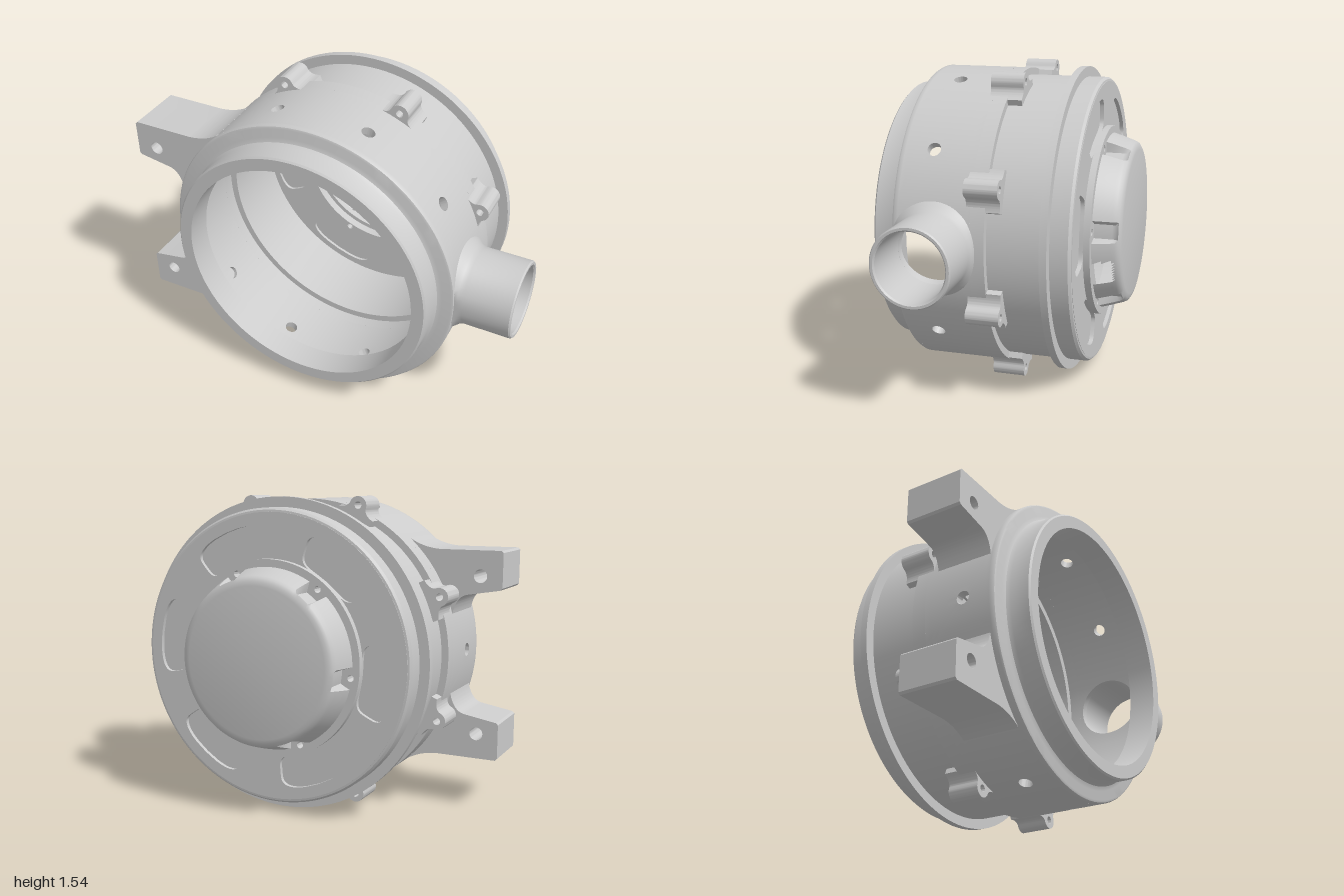
import * as THREE from 'three';
import { mergeGeometries, toCreasedNormals } from 'three/addons/utils/BufferGeometryUtils.js';

const RAD = Math.PI / 180;
const R_OUT = 0.755, R_IN = 0.715;       // front housing wall
const Z_LOW = 0.06, Z_HIGH = 0.41;       // band of the wall that carries holes
const PIPE_Z = 0.24;
const material = new THREE.MeshStandardMaterial({ color: 0xcccccc, side: THREE.DoubleSide });

function add(parent, name, geometry, crease = 35) {
  const mesh = new THREE.Mesh(toCreasedNormals(geometry, crease * RAD), material);
  mesh.name = name;
  parent.add(mesh);
  return mesh;
}

// Lathe about the z axis from [radius, z] pairs
function turned(profile, segments = 120) {
  const points = profile.map(([r, z]) => new THREE.Vector2(r, z));
  return new THREE.LatheGeometry(points, segments).rotateX(Math.PI / 2).scale(1, 1, 1);
}

function circlePath(x, y, r) {
  return new THREE.Path().absarc(x, y, r, 0, Math.PI * 2, true);
}

function plate(shape, z0, z1, curveSegments = 48) {
  return new THREE.ExtrudeGeometry(shape, { depth: z1 - z0, bevelEnabled: false, curveSegments }).translate(0, 0, z0);
}

// Curved wall piece spanning 36 degrees with a round radial hole
function wallPanel(angle, holeZ, holeR) {
  const h = R_OUT * Math.sin(18 * RAD), side = 14, steps = 7, n = side * 4;
  const corners = [[-h, Z_LOW - holeZ], [h, Z_LOW - holeZ], [h, Z_HIGH - holeZ], [-h, Z_HIGH - holeZ]];
  const pos = [], index = [], rows = steps * 2;
  for (let k = 0; k < rows; k++) {
    const outer = k < steps;
    const t = (outer ? k : rows - 1 - k) / (steps - 1);
    const R = outer ? R_OUT : R_IN;
    for (let i = 0; i < n; i++) {
      const a = corners[Math.floor(i / side)], b = corners[(Math.floor(i / side) + 1) % 4], f = (i % side) / side;
      const ry = a[0] + (b[0] - a[0]) * f, rz = a[1] + (b[1] - a[1]) * f, len = Math.hypot(ry, rz);
      const y = (ry + (ry / len * holeR - ry) * t) * R / R_OUT;
      const z = holeZ + rz + (rz / len * holeR - rz) * t;
      pos.push(Math.sqrt(R * R - y * y), y, z);
      if (k < rows - 1) {
        const j = (i + 1) % n, p = k * n;
        index.push(p + i, p + j, p + n + i, p + j, p + n + j, p + n + i);
      }
    }
  }
  const g = new THREE.BufferGeometry();
  g.setAttribute('position', new THREE.Float32BufferAttribute(pos, 3));
  g.setIndex(index);
  return g.rotateZ(angle);
}

// Side pipe whose root follows the round wall
function pipeGeometry() {
  const profile = [[0.165, 0.7], [0.165, 1.017], [0.172, 1.025], [0.184, 1.025], [0.19, 1.018],
    [0.19, 0.79], [0.197, 0.765], [0.215, 0.745], [0.235, 0.7]].reverse();
  const g = new THREE.LatheGeometry(profile.map(([r, x]) => new THREE.Vector2(r, x)), 64).rotateZ(-Math.PI / 2);
  const p = g.attributes.position;
  for (let i = 0; i < p.count; i++) {
    if (p.getX(i) < 0.71) p.setX(i, Math.sqrt(0.74 ** 2 - p.getY(i) ** 2));
    p.setZ(i, Math.min(p.getZ(i), 0.19));
  }
  return g.translate(0, 0, PIPE_Z);
}

// Mounting arm, upper one
function armGeometry() {
  const s = new THREE.Shape();
  s.moveTo(-0.975, 0.335);
  s.lineTo(-0.975, 0.505);
  s.lineTo(-0.965, 0.515);
  s.lineTo(-0.66, 0.515);
  s.quadraticCurveTo(-0.57, 0.52, -0.5, 0.566);
  s.absarc(0, 0, 0.735, 131 * RAD, 163 * RAD, false);
  s.lineTo(-0.728, 0.2);
  s.quadraticCurveTo(-0.745, 0.285, -0.8, 0.297);
  s.lineTo(-0.965, 0.325);
  s.holes.push(circlePath(-0.865, 0.39, 0.033));
  return plate(s, 0.11, 0.4, 20);
}

// Screw ear, pointing along +x
function earGeometry() {
  const s = new THREE.Shape();
  s.moveTo(0.715, -0.1);
  s.lineTo(0.745, -0.1);
  s.quadraticCurveTo(0.755, -0.05, 0.785, -0.045);
  s.absarc(0.785, 0, 0.045, -Math.PI / 2, Math.PI / 2, false);
  s.quadraticCurveTo(0.755, 0.05, 0.745, 0.1);
  s.lineTo(0.715, 0.1);
  s.holes.push(circlePath(0.787, 0, 0.018));
  return plate(s, -0.08, 0.08, 16);
}

// Bean-shaped recess outline
function beanPath(centre) {
  const soft = v => Math.sign(v) * Math.sqrt(Math.abs(v));
  const points = [];
  for (let i = 0; i < 48; i++) {
    const t = -i / 48 * Math.PI * 2;
    const a = centre + 0.32 * soft(Math.cos(t)), r = 0.56 + 0.085 * soft(Math.sin(t));
    points.push(new THREE.Vector2(r * Math.cos(a), r * Math.sin(a)));
  }
  return new THREE.Path(points);
}

// Domed rear cap with six screw channels and one cable window
function capGeometry(angles) {
  const g = turned([[0, -0.57], [0.365, -0.57], [0.385, -0.566], [0.402, -0.556], [0.41, -0.54],
    [0.415, -0.525], [0.43, -0.48], [0.445, -0.43]], 180);
  const p = g.attributes.position;
  // the lathe rotation turns the profile's height into z
  for (let i = 0; i < p.count; i++) {
    const r = Math.hypot(p.getX(i), p.getY(i)), a = Math.atan2(p.getY(i), p.getX(i));
    const inChannel = angles.some(c => Math.cos(a - c) > Math.cos(5.5 * RAD));
    if (inChannel && p.getZ(i) > -0.55) {
      p.setX(i, p.getX(i) * 0.392 / r);
      p.setY(i, p.getY(i) * 0.392 / r);
    }
  }
  const kept = [], old = g.index.array;
  for (let i = 0; i < old.length; i += 3) {
    const [x, y, z] = ['getX', 'getY', 'getZ'].map(f => (p[f](old[i]) + p[f](old[i + 1]) + p[f](old[i + 2])) / 3);
    const a = Math.atan2(y, x) / RAD;
    if (!(a > -30 && a < -13 && z > -0.53)) kept.push(old[i], old[i + 1], old[i + 2]);
  }
  g.setIndex(kept);
  return g;
}

export function createModel() {
  const model = new THREE.Group();
  model.name = 'roundHousing';
  const body = new THREE.Group();
  body.name = 'housing';
  body.position.set(-0.025, 0.772, 0);
  model.add(body);

  // Front housing: stepped mouth ring and drilled wall
  add(body, 'mouthRing', turned([[R_OUT, Z_HIGH], [R_OUT, 0.425], [0.75, 0.434], [0.74, 0.438], [0.695, 0.438],
    [0.675, 0.446], [0.665, 0.465], [0.665, 0.557], [0.657, 0.565], [0.595, 0.565], [0.595, 0.43], [R_IN, Z_HIGH]]));
  const panels = [];
  for (let i = 0; i < 10; i++) {
    panels.push(i === 0 ? wallPanel(0, PIPE_Z, 0.165) : wallPanel(i * 36 * RAD, 0.27, 0.033));
  }
  add(body, 'drilledWall', mergeGeometries(panels));
  add(body, 'sidePipe', pipeGeometry());

  // Rear housing with thin flange
  add(body, 'rearWall', turned([[0.69, -0.405], [0.71, -0.402], [0.72, -0.39], [0.72, -0.305], [0.77, -0.305],
    [0.77, -0.27], [0.72, -0.27], [0.72, -0.01], [R_OUT, -0.01], [R_OUT, Z_LOW], [R_IN, Z_LOW], [R_IN, 0],
    [0.68, 0], [0.68, -0.36]]));

  // Rear plate, with bean recesses closed by a thin web
  const angles = [0, 1, 2, 3, 4, 5].map(i => (7 + i * 60) * RAD);
  const disc = new THREE.Shape().absarc(0, 0, 0.7, 0, Math.PI * 2, false);
  const seat = new THREE.Shape().absarc(0, 0, 0.48, 0, Math.PI * 2, false);
  disc.holes.push(circlePath(0, 0, 0.415));
  seat.holes.push(circlePath(0, 0, 0.392));
  for (const a of angles) {
    disc.holes.push(beanPath(a));
    const screw = r => circlePath(r * Math.cos(a), r * Math.sin(a), 0.016);
    disc.holes.push(screw(0.437));
    seat.holes.push(screw(0.437));
  }
  add(body, 'rearPlate', plate(disc, -0.405, -0.36));
  const web = new THREE.Shape().absarc(0, 0, 0.67, 0, Math.PI * 2, false);
  web.holes.push(circlePath(0, 0, 0.465));
  add(body, 'recessWeb', plate(web, -0.385, -0.375));

  // Rear cap on its seat
  add(body, 'capSeat', plate(seat, -0.437, -0.405));
  add(body, 'rearCap', capGeometry(angles));

  // Two mounting arms, mirrored top to bottom
  add(body, 'upperArm', armGeometry());
  add(body, 'lowerArm', armGeometry().rotateX(Math.PI).translate(0, 0, 0.51));

  // Eight screw ears around the joint
  for (let i = 0; i < 8; i++) {
    add(body, 'screwEar', earGeometry()).rotation.z = (22.5 + i * 45) * RAD;
  }
  return model;
}
